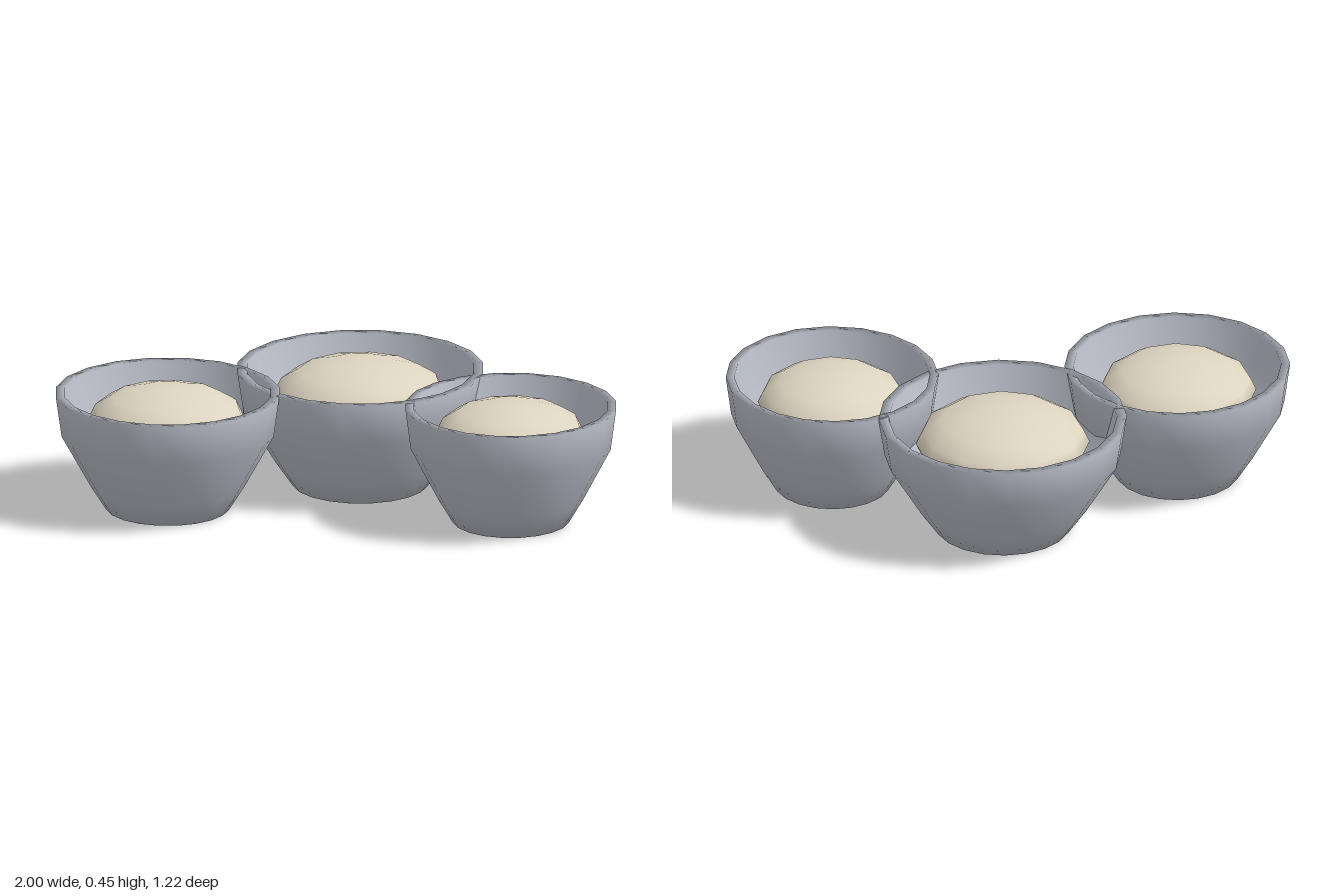
import * as THREE from 'three';

const bowlMaterial = new THREE.MeshStandardMaterial({ name: 'greyCeramic', color: 0xb8bcc6 });
const doughMaterial = new THREE.MeshStandardMaterial({ name: 'creamDough', color: 0xddd4c0 });

// Bowl section: radius as a share of the rim radius, height in units.
// Runs from the base centre up the outside, over the rim and down the inside.
const PROFILE = [
  [0, 0], [0.55, 0], [0.69, 0.09], [0.95, 0.28], [1, 0.425],
  [0.92, 0.425], [0.88, 0.28], [0.63, 0.11], [0, 0.06],
];

function makeBowl(radius) {
  const points = PROFILE.map(([r, y]) => new THREE.Vector2(r * radius, y));
  const bowl = new THREE.Mesh(new THREE.LatheGeometry(points, 20), bowlMaterial);
  bowl.name = 'bowl';
  return bowl;
}

// Flattened ball resting inside, its crown just above the rim
function makeDough(radius) {
  const geometry = new THREE.SphereGeometry(radius, 12, 8);
  geometry.scale(1, 0.42, 1);
  const dough = new THREE.Mesh(geometry, doughMaterial);
  dough.name = 'dough';
  dough.position.y = 0.325;
  return dough;
}

export function createModel() {
  const model = new THREE.Group();
  model.name = 'threeBowls';
  const layout = [
    { name: 'rightBowl', x: -0.6, z: 0.21, radius: 0.4 },
    { name: 'middleBowl', x: 0.03, z: -0.17, radius: 0.44 },
    { name: 'leftBowl', x: 0.623, z: 0.167, radius: 0.377 },
  ];
  for (const { name, x, z, radius } of layout) {
    const group = new THREE.Group();
    group.name = name;
    group.position.set(x, 0, z);
    group.add(makeBowl(radius), makeDough(radius * 0.7));
    model.add(group);
  }
  return model;
}
